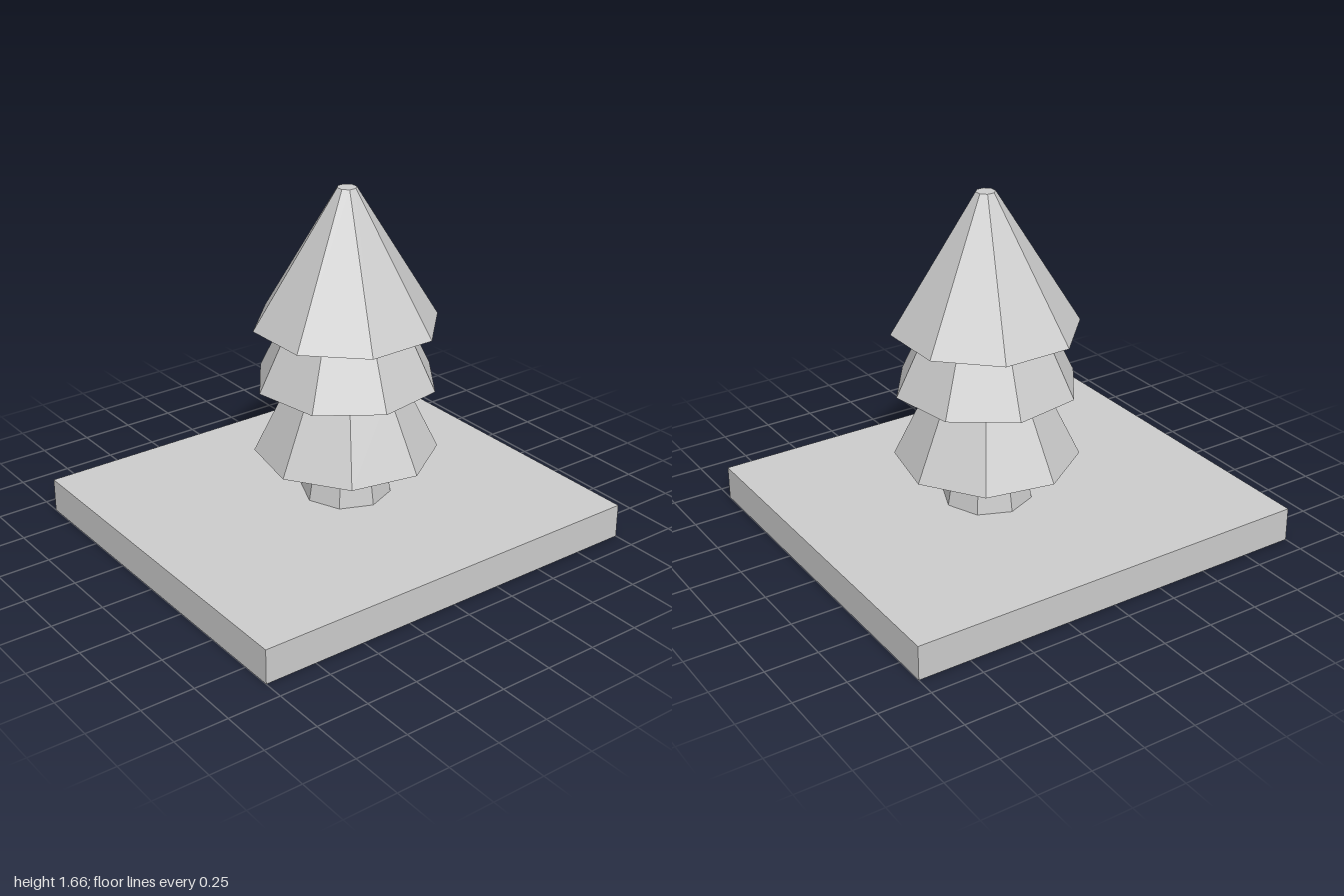
import * as THREE from 'three';

const SIDES = 8;

export function createModel() {
  const model = new THREE.Group();
  const material = new THREE.MeshStandardMaterial({ color: 0xcccccc, flatShading: true });

  const add = (name, geometry, parent, y) => {
    const mesh = new THREE.Mesh(geometry, material);
    mesh.name = name;
    mesh.position.y = y;
    parent.add(mesh);
  };

  // Flat ground slab
  add('groundSlab', new THREE.BoxGeometry(2, 0.165, 1.8), model, 0.0825);

  // Tree, set slightly off the middle of the slab
  const tree = new THREE.Group();
  tree.name = 'tree';
  tree.position.x = 0.083;
  model.add(tree);

  // Tapered sections, each twisted a little: name, bottom y, top y, bottom radius, top radius, twist in degrees
  const sections = [
    ['trunk', 0.165, 0.38, 0.214, 0.178, 0],
    ['lowerFoliage', 0.38, 0.74, 0.432, 0.258, 11.5],
    ['middleFoliage', 0.74, 1.02, 0.432, 0.297, 32.5],
    ['topFoliage', 1.02, 1.665, 0.437, 0.045, 23.3],
  ];
  for (const [name, y0, y1, bottom, top, twist] of sections) {
    const geometry = new THREE.CylinderGeometry(
      top, bottom, y1 - y0, SIDES, 1, false, THREE.MathUtils.degToRad(twist));
    add(name, geometry, tree, (y0 + y1) / 2);
  }

  return model;
}
